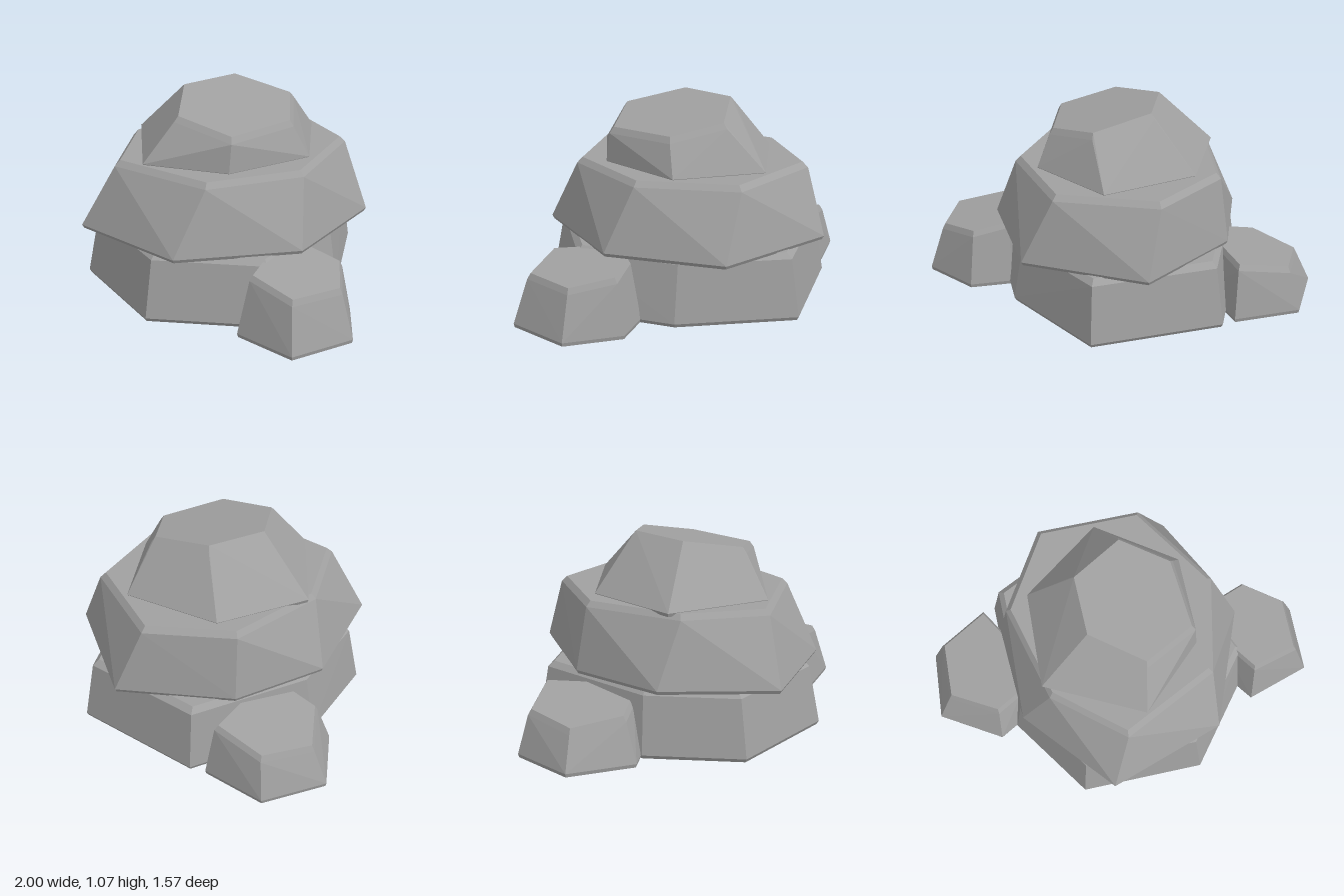
import * as THREE from 'three';
import { ConvexGeometry } from 'three/addons/geometries/ConvexGeometry.js';

const stone = new THREE.MeshStandardMaterial({ color: 0xa0a0a0 });
stone.name = 'greyStone';

// Grow or shrink an outline of [x, z] points about its middle
function scaled(outline, s) {
  const cx = outline.reduce((a, p) => a + p[0], 0) / outline.length;
  const cz = outline.reduce((a, p) => a + p[1], 0) / outline.length;
  return outline.map(([x, z]) => [cx + (x - cx) * s, cz + (z - cz) * s]);
}

// Chamfered boulder: foot outline at y0, crown outline lying on the plane topY(x, z)
function boulder(name, y0, foot, crown, topY, chamfer = 1.07) {
  const points = [];
  const ring = (outline, y) => outline.forEach(([x, z]) => points.push(new THREE.Vector3(x, y(x, z), z)));
  ring(scaled(foot, 0.985), () => y0);
  ring(foot, () => y0 + 0.02);
  ring(scaled(crown, chamfer), (x, z) => topY(x, z) - 0.03);
  ring(crown, topY);
  const mesh = new THREE.Mesh(new ConvexGeometry(points), stone);
  mesh.name = name;
  return mesh;
}

export function createModel() {
  const group = new THREE.Group();
  group.name = 'rockPile';

  // Three stacked slabs
  group.add(boulder('baseRock', 0,
    [[-0.02, 0.785], [-0.62, 0.49], [-0.69, -0.05], [-0.36, -0.71], [0.37, -0.71], [0.63, -0.1], [0.57, 0.5]],
    [[-0.02, 0.69], [-0.55, 0.43], [-0.61, -0.05], [-0.32, -0.63], [0.33, -0.63], [0.55, -0.1], [0.5, 0.44]],
    () => 0.365, 1.05));
  group.add(boulder('middleRock', 0.36,
    [[0.08, -0.785], [0.65, -0.38], [0.63, 0.28], [0.13, 0.74], [-0.53, 0.65], [-0.685, 0.03], [-0.47, -0.46]],
    [[-0.02, -0.64], [0.46, -0.4], [0.52, 0.13], [0.2, 0.53], [-0.35, 0.53], [-0.53, 0.12], [-0.42, -0.39]],
    () => 0.757, 1.05));
  group.add(boulder('topRock', 0.74,
    [[-0.3, -0.4], [0.23, -0.49], [0.47, -0.05], [0.24, 0.38], [-0.21, 0.52], [-0.555, 0.06]],
    [[-0.11, -0.22], [0.22, -0.26], [0.37, -0.01], [0.23, 0.34], [-0.09, 0.36], [-0.25, 0.07]],
    (x, z) => 1.025 - 0.18 * x - 0.1 * z));

  // Two small rocks leaning against the base
  group.add(boulder('leftSmallRock', 0,
    [[1, 0.39], [0.83, 0.715], [0.47, 0.66], [0.42, 0.35], [0.6, 0.09], [0.83, 0.11]],
    [[0.91, 0.38], [0.78, 0.63], [0.52, 0.59], [0.48, 0.36], [0.6, 0.16], [0.79, 0.17]],
    (x, z) => 0.285 + 0.17 * (0.92 - x) - 0.06 * (z - 0.38)));
  group.add(boulder('rightSmallRock', 0,
    [[-1, -0.37], [-0.81, -0.685], [-0.44, -0.68], [-0.4, -0.3], [-0.62, -0.06], [-0.8, -0.05]],
    [[-0.9, -0.37], [-0.76, -0.62], [-0.48, -0.62], [-0.46, -0.33], [-0.61, -0.13], [-0.75, -0.13]],
    (x) => 0.23 + 0.2 * (x + 0.9)));

  return group;
}
